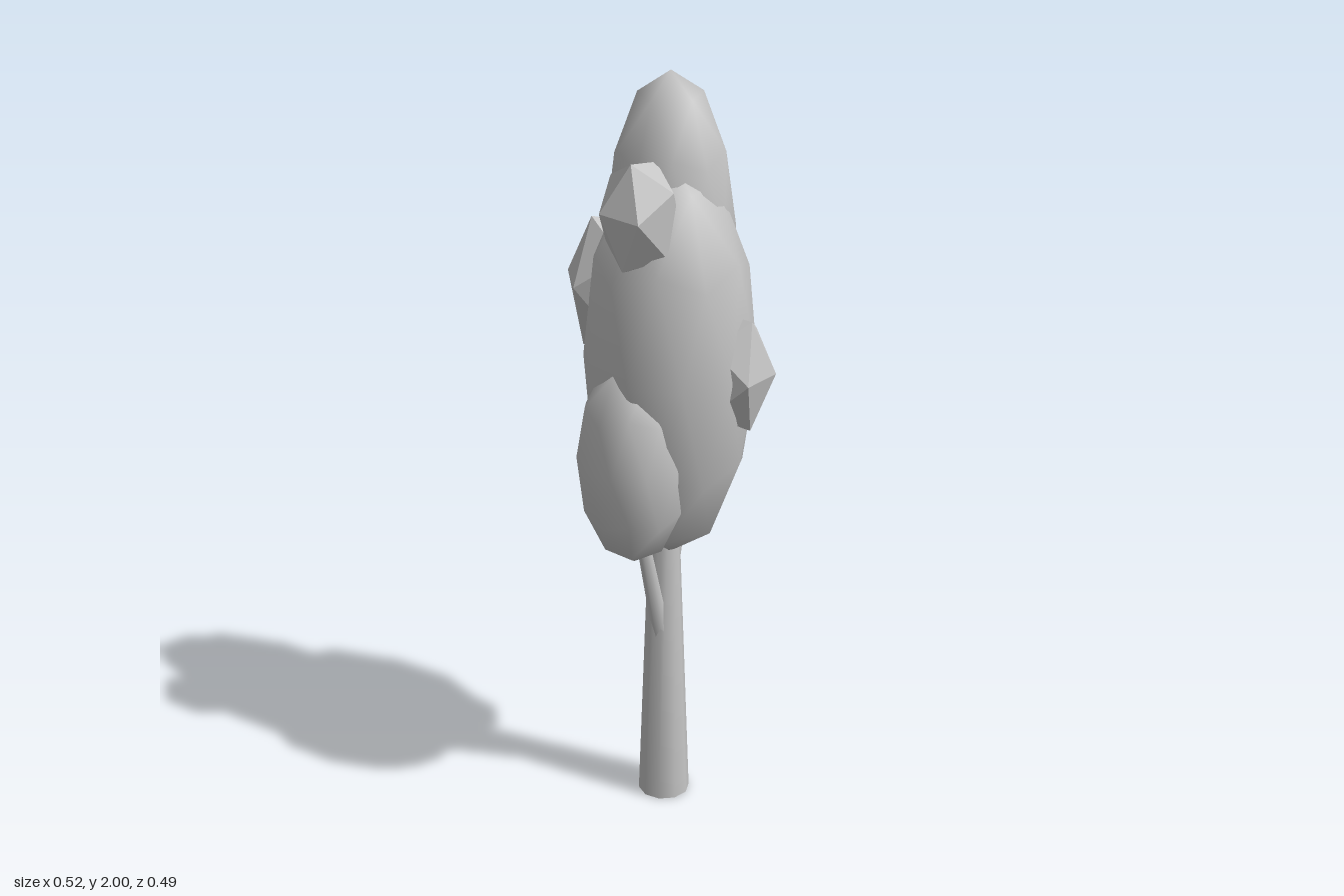
import * as THREE from 'three';

const plainGrey = new THREE.MeshStandardMaterial({ color: 0xc4c4c4 });
plainGrey.name = 'plainGrey';

// Icosphere with one vertex along `pole` and a neighbouring vertex towards `toward`, then stretched.
function ico(name, detail, center, radius, height, pole, toward) {
  const geo = new THREE.IcosahedronGeometry(1, detail);
  geo.rotateZ(-Math.atan(2 / (1 + Math.sqrt(5)))); // stand it on a vertex
  const y = new THREE.Vector3(...pole).normalize();
  const x = new THREE.Vector3(...toward);
  x.addScaledVector(y, -x.dot(y)).normalize();
  const z = new THREE.Vector3().crossVectors(x, y);
  geo.applyMatrix4(new THREE.Matrix4().makeBasis(x, y, z));
  geo.scale(radius, height, radius);
  const mesh = new THREE.Mesh(geo, plainGrey);
  mesh.name = name;
  mesh.position.set(...center);
  return mesh;
}

// Open tapered limb between two points.
function limb(name, from, to, r0, r1, sides) {
  const a = new THREE.Vector3(...from);
  const b = new THREE.Vector3(...to);
  const dir = b.clone().sub(a);
  const geo = new THREE.CylinderGeometry(r1, r0, dir.length(), sides, 1, true);
  const mesh = new THREE.Mesh(geo, plainGrey);
  mesh.name = name;
  mesh.position.copy(a).add(b).multiplyScalar(0.5);
  mesh.quaternion.setFromUnitVectors(new THREE.Vector3(0, 1, 0), dir.normalize());
  return mesh;
}

export function createModel() {
  const tree = new THREE.Group();
  tree.name = 'tree';

  // Trunk and branches
  tree.add(
    limb('trunk', [0.002, 0, -0.012], [0.01, 1.0, -0.025], 0.069, 0.033, 10),
    limb('rightBranch', [-0.012, 0.5, 0], [-0.11, 0.95, 0.045], 0.024, 0.014, 6),
    limb('leftBranch', [0.012, 0.6, -0.015], [0.09, 0.95, -0.05], 0.022, 0.014, 6),
  );

  // Smooth foliage masses: center, radius, half height, azimuth
  const masses = [
    ['mainFoliage', [0.01, 1.28, 0.008], 0.22, 0.54, 0.3],
    ['topFoliage', [0.038, 1.61, -0.047], 0.16, 0.39, 0.1],
    ['lowerRightFoliage', [-0.115, 1.055, 0.06], 0.143, 0.29, 0.2],
    ['leftFoliage', [0.1, 1.22, -0.065], 0.159, 0.38, 0.2],
  ];
  for (const [name, center, radius, height, turn] of masses) {
    tree.add(ico(name, 1, center, radius, height, [0, 1, 0], [Math.cos(turn), 0, Math.sin(turn)]));
  }

  // Faceted leaf clumps poking out of the foliage
  tree.add(
    ico('upperClump', 0, [-0.1, 1.69, 0.07], 0.105, 0.155, [-0.3, 0.87, 0.24], [0.48, 0.9, -0.24]),
    ico('backClump', 0, [-0.075, 1.445, -0.135], 0.13, 0.2, [-0.44, 1, -0.15], [-0.59, -0.15, -0.78]),
    ico('frontClump', 0, [0.12, 1.28, 0.14], 0.105, 0.17, [-0.12, 0, 1], [1, 0, 0]),
    ico('lowerClump', 0, [0.088, 0.885, -0.05], 0.115, 0.14, [1, -0.1, 0.2], [0.4, -0.8, -0.55]),
  );
  return tree;
}
